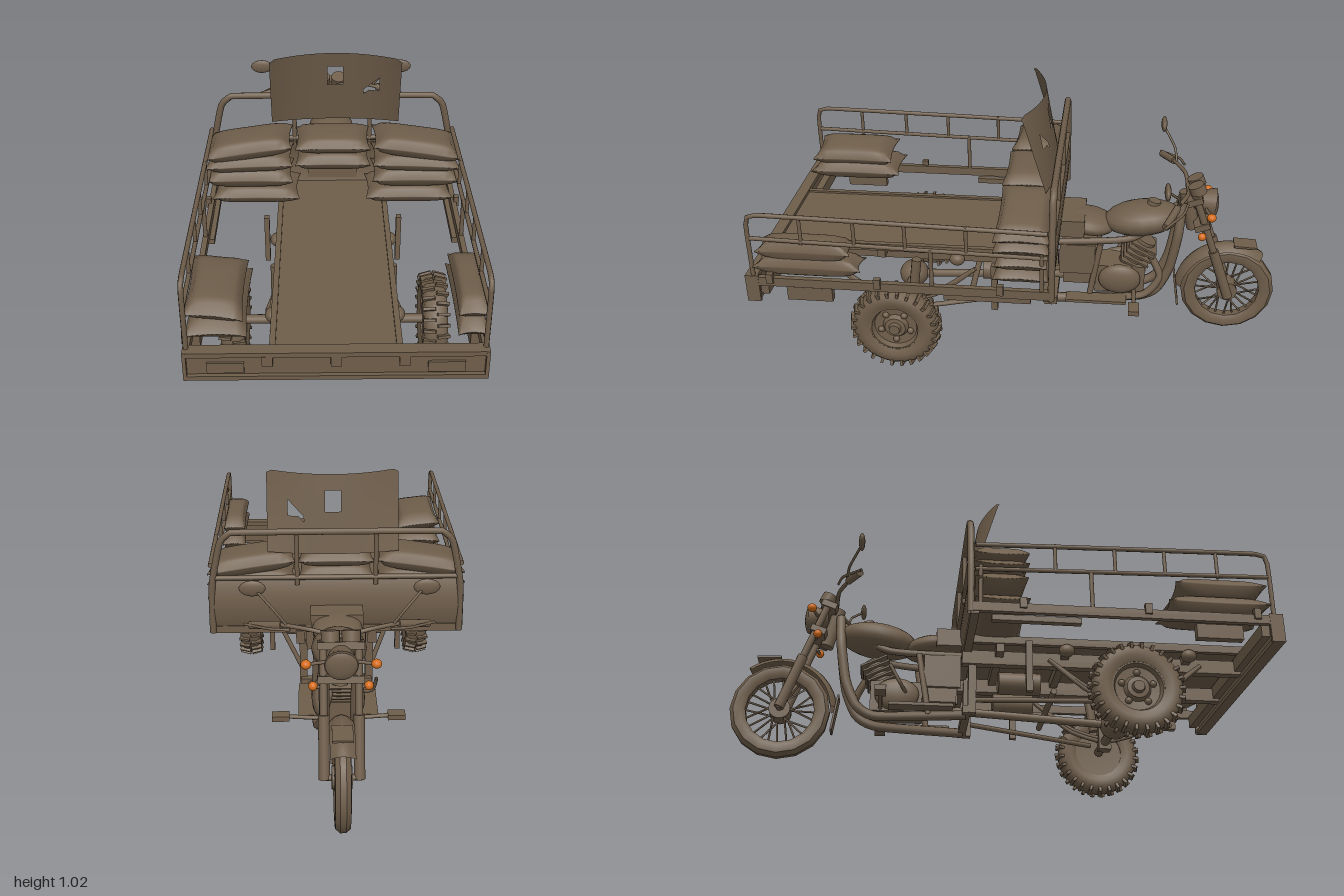
import * as THREE from 'three';
import { mergeVertices, toCreasedNormals } from 'three/addons/utils/BufferGeometryUtils.js';

export function createModel() {
  const root = new THREE.Group();
  root.name = 'cargoTricycle';
  const brown = new THREE.MeshStandardMaterial({ color: 0x6e5d4a, side: THREE.DoubleSide });
  brown.name = 'dusty brown';
  const orange = new THREE.MeshStandardMaterial({ color: 0xd56c1a });
  orange.name = 'signal orange';

  const V = (p) => new THREE.Vector3(...p);
  let parent = root;
  const section = (name) => {
    parent = new THREE.Group();
    parent.name = name;
    root.add(parent);
    return parent;
  };
  const add = (name, geo, pos = [0, 0, 0], rot = [0, 0, 0], mat = brown) => {
    const m = new THREE.Mesh(geo, mat);
    m.name = name;
    m.position.set(...pos);
    m.rotation.set(...rot);
    parent.add(m);
    return m;
  };
  const box = (name, size, pos, rot) => add(name, new THREE.BoxGeometry(...size), pos, rot);
  const ball = (name, size, pos, mat = brown, rot) => {
    const m = add(name, new THREE.SphereGeometry(1, 18, 12), pos, rot, mat);
    m.scale.set(...size);
    return m;
  };
  const rod = (name, a, b, r, r2 = r, seg = 10) => {
    const A = V(a), B = V(b), d = B.clone().sub(A);
    const m = add(name, new THREE.CylinderGeometry(r2, r, d.length(), seg));
    m.position.copy(A.add(B).multiplyScalar(0.5));
    m.quaternion.setFromUnitVectors(new THREE.Vector3(0, 1, 0), d.normalize());
    return m;
  };
  const tube = (name, pts, r, seg = 40) =>
    add(name, new THREE.TubeGeometry(new THREE.CatmullRomCurve3(pts.map(V), false, 'catmullrom', 0.3), seg, r, 8));
  const lathe = (pts, seg) =>
    toCreasedNormals(new THREE.LatheGeometry(pts.map((p) => new THREE.Vector2(...p)), seg), 0.7);
  const sides = [-1, 1];

  // Cargo bed: floor strip, rails and chassis
  section('cargoBed');
  box('bedFloor', [0.4, 0.014, 1.1], [0, 0.425, 0.42]);
  box('tailboard', [0.975, 0.1, 0.02], [0, 0.39, 0.97]);
  box('tailboardTopLip', [0.975, 0.018, 0.045], [0, 0.436, 0.972]);
  box('tailboardBottomLip', [0.975, 0.016, 0.045], [0, 0.344, 0.972]);
  box('frontSill', [0.97, 0.03, 0.03], [0, 0.41, -0.12]);
  box('rearBeam', [0.95, 0.05, 0.03], [0, 0.385, 0.93]);
  for (const x of [-0.22, 0, 0.22]) box('tailLatch', [0.035, 0.04, 0.02], [x, 0.41, 0.985]);
  for (const z of [0.0, 0.25, 0.55, 0.72]) box('crossMember', [0.42, 0.035, 0.03], [0, 0.395, z]);
  for (const s of sides) {
    box('tailLamp', [0.12, 0.04, 0.01], [s * 0.355, 0.38, 0.983]);
    box('tailboardEnd', [0.012, 0.11, 0.05], [s * 0.485, 0.39, 0.97]);
    box('sideSill', [0.02, 0.035, 1.1], [s * 0.48, 0.422, 0.42]);
    box('lowerSideBar', [0.025, 0.022, 0.32], [s * 0.465, 0.388, 0.1]);
    box('rearBracket', [0.03, 0.055, 0.17], [s * 0.465, 0.37, 0.76]);
    box('floorEdge', [0.02, 0.03, 1.1], [s * 0.205, 0.425, 0.42]);
    box('chassisBeam', [0.035, 0.055, 1.08], [s * 0.14, 0.375, 0.4]);
    for (const z of [0.25, 0.72]) ball('floorKnob', [0.025, 0.025, 0.03], [s * 0.215, 0.39, z]);
    // Side railing
    const x = s * 0.48;
    tube('railTop', [[x, 0.42, 0.965], [x, 0.66, 0.965], [x, 0.695, 0.94], [x, 0.695, 0.8], [x, 0.685, 0.3], [x, 0.675, -0.12]], 0.009);
    rod('railMiddle', [x, 0.6, 0.965], [x, 0.575, -0.12], 0.008);
    for (const z of [0.77, 0.575, 0.39, 0.17]) rod('railPost', [x, 0.585, z], [x, 0.69, z], 0.007);
    for (const z of [0.3, -0.1]) rod('railStake', [x, 0.42, z], [x, 0.59, z], 0.008);
    for (const z of [0.9, 0.5, 0.05]) box('railHinge', [0.02, 0.04, 0.025], [s * 0.49, 0.44, z]);
  }

  // Bulkhead with a shallow bulge, and the arch over it
  section('bulkhead');
  const wall = new THREE.PlaneGeometry(0.97, 0.23, 1, 10);
  const wp = wall.attributes.position;
  for (let i = 0; i < wp.count; i++) wp.setZ(i, 0.025 * (wp.getY(i) / 0.115) ** 2);
  wall.computeVertexNormals();
  add('frontWall', wall, [0, 0.51, -0.145]);
  tube('frontArch', [[-0.48, 0.4, -0.135], [-0.475, 0.6, -0.135], [-0.44, 0.77, -0.135], [-0.41, 0.805, -0.135], [-0.36, 0.815, -0.135],
    [0.36, 0.815, -0.135], [0.41, 0.805, -0.135], [0.44, 0.77, -0.135], [0.475, 0.6, -0.135], [0.48, 0.4, -0.135]], 0.013, 80);
  rod('archCrossbar', [-0.47, 0.63, -0.135], [0.47, 0.63, -0.135], 0.01);
  for (const s of sides) rod('archPost', [s * 0.15, 0.6, -0.135], [s * 0.15, 0.82, -0.135], 0.009);

  // Bent backrest sheet with a window and a torn hole
  const sheet = new THREE.PlaneGeometry(0.5, 0.3, 25, 15);
  const sp = sheet.attributes.position, keep = [], idx = sheet.index.array;
  for (let i = 0; i < idx.length; i += 3) {
    const tri = [idx[i], idx[i + 1], idx[i + 2]];
    const cx = tri.reduce((a, k) => a + sp.getX(k), 0) / 3, cy = tri.reduce((a, k) => a + sp.getY(k), 0) / 3;
    const windowHole = Math.abs(cx) < 0.03 && cy > 0.01 && cy < 0.09;
    const tear = cx > 0.11 && cx < 0.17 && cy < cx - 0.12 && cy > cx * 0.4 - 0.07;
    if (!windowHole && !tear) keep.push(...tri);
  }
  sheet.setIndex(keep);
  for (let i = 0; i < sp.count; i++) {
    const u = (sp.getX(i) / 0.25) ** 2, v = sp.getY(i) / 0.3 + 0.5;
    sp.setZ(i, -0.125 + 0.05 * v + u * (0.03 + 0.04 * v));
    if (u > 0.99 && v > 0.99) sp.setY(i, 0.138);
  }
  sheet.computeVertexNormals();
  add('backrest', sheet, [0.012, 0.87, 0]);

  // Stuffed sacks: a pillow thinning to its seams
  section('sacks');
  const sack = (x, y, z, w, h, d, rz = 0) => {
    let g = new THREE.BoxGeometry(2, 2, 2, 12, 1, 12);
    g.deleteAttribute('normal');
    g.deleteAttribute('uv');
    g = mergeVertices(g);
    const p = g.attributes.position;
    for (let i = 0; i < p.count; i++) {
      const a = p.getX(i), c = p.getZ(i);
      const t = Math.sqrt((1 - a ** 4) * (1 - c ** 4)) + 0.06;
      p.setXYZ(i, a * w / 2 * (1 - 0.07 * (1 - c * c)), p.getY(i) * t * h / 2, c * d / 2 * (1 - 0.07 * (1 - a * a)));
    }
    g.computeVertexNormals();
    add('sack', g, [x, y, z], [0, 0, rz]);
  };
  sack(0, 0.685, -0.02, 0.29, 0.065, 0.2);
  sack(0, 0.62, -0.015, 0.29, 0.07, 0.2);
  for (const s of sides) {
    sack(s * 0.325, 0.665, -0.025, 0.34, 0.08, 0.2, -s * 0.15);
    sack(s * 0.325, 0.605, -0.025, 0.34, 0.07, 0.2, -s * 0.04);
    sack(s * 0.325, 0.54, -0.025, 0.34, 0.08, 0.19);
    sack(s * 0.3, 0.47, -0.02, 0.34, 0.07, 0.2);
  }
  sack(-0.385, 0.485, 0.77, 0.2, 0.08, 0.38);
  sack(-0.39, 0.55, 0.78, 0.19, 0.08, 0.34, -0.12);
  sack(0.44, 0.485, 0.76, 0.1, 0.08, 0.4);
  sack(0.44, 0.55, 0.77, 0.1, 0.08, 0.35);

  // Rear wheels with block tread, dished rims and hubs
  for (const s of sides) {
    const w = section('rearWheel');
    w.position.set(s * 0.367, 0.178, 0.47);
    w.rotation.z = -s * Math.PI / 2;
    add('tyre', lathe([[0.095, -0.035], [0.12, -0.046], [0.148, -0.042], [0.162, -0.028], [0.165, 0], [0.162, 0.028], [0.148, 0.042], [0.12, 0.046], [0.095, 0.035], [0.095, -0.035]], 36));
    add('rim', lathe([[0, -0.02], [0.09, -0.03], [0.1, -0.03], [0.1, 0.034], [0.09, 0.034], [0.082, 0.015], [0.05, 0.012], [0.04, 0.028], [0.024, 0.03], [0.02, 0.045], [0, 0.045]], 28));
    for (let i = 0; i < 52; i++) {
      const a = i * Math.PI / 26, side = i % 2 ? 1 : -1;
      box('treadBlock', [0.022, 0.045, 0.011], [0.162 * Math.cos(a), side * 0.024, 0.162 * Math.sin(a)], [0, -a, side * 0.25]);
    }
    for (let i = 0; i < 5; i++) {
      const a = i * Math.PI * 0.4;
      ball('rimBoss', [0.013, 0.012, 0.013], [0.06 * Math.cos(a), 0.015, 0.06 * Math.sin(a)]);
    }
  }

  // Rear axle, springs, shaft and tanks
  section('driveline');
  rod('rearAxle', [-0.33, 0.18, 0.47], [0.33, 0.18, 0.47], 0.018);
  ball('differential', [0.06, 0.055, 0.06], [0, 0.18, 0.47]);
  rod('driveShaft', [0, 0.18, 0.45], [0, 0.22, -0.3], 0.016);
  rod('undersideCrossTube', [-0.2, 0.23, 0.2], [0.2, 0.23, 0.2], 0.012);
  for (const s of sides) {
    const x = s * 0.215;
    for (const k of [0, 0.012]) tube('leafSpring', [[x, 0.35, 0.18], [x, 0.24 - k, 0.33], [x, 0.2 - k, 0.47], [x, 0.24 - k, 0.61], [x, 0.35, 0.76]], 0.009, 20);
    box('springSaddle', [0.045, 0.1, 0.05], [x, 0.2, 0.47]);
    rod('shockAbsorber', [x, 0.23, 0.43], [x, 0.38, 0.41], 0.019);
    rod('radiusRod', [s * 0.25, 0.18, 0.42], [s * 0.13, 0.21, -0.1], 0.01);
    rod('airTank', [s * 0.11, 0.29, 0.0], [s * 0.11, 0.29, 0.16], 0.043, 0.043, 20);
    box('framePost', [0.03, 0.25, 0.03], [s * 0.13, 0.28, -0.1]);
    box('frameSidePost', [0.02, 0.2, 0.025], [s * 0.26, 0.3, 0.1]);
  }

  // Motorcycle front half: frame, seat, tank and engine
  section('motorcycleBody');
  for (const s of sides) {
    const x = s * 0.055;
    tube('downTube', [[s * 0.02, 0.58, -0.61], [x, 0.45, -0.6], [x, 0.3, -0.575], [x, 0.2, -0.53], [x, 0.16, -0.45], [x * 1.8, 0.16, -0.12]], 0.019);
    tube('upperFrameTube', [[s * 0.02, 0.56, -0.62], [s * 0.06, 0.43, -0.42], [s * 0.08, 0.41, -0.12]], 0.014);
    rod('seatPost', [s * 0.08, 0.41, -0.3], [s * 0.09, 0.16, -0.26], 0.012);
    box('footPlate', [0.06, 0.012, 0.24], [s * 0.12, 0.18, -0.29]);
    box('sideCover', [0.014, 0.13, 0.14], [s * 0.085, 0.34, -0.21]);
    rod('pegBar', [s * 0.05, 0.19, -0.44], [s * 0.19, 0.2, -0.44], 0.008);
    box('footPeg', [0.065, 0.02, 0.042], [s * 0.215, 0.2, -0.44]);
    ball('crankcaseCover', [0.03, 0.065, 0.085], [s * 0.07, 0.245, -0.38]);
  }
  box('lowerCrossbar', [0.28, 0.03, 0.03], [0, 0.17, -0.12]);
  ball('fuelTank', [0.1, 0.065, 0.155], [0, 0.495, -0.46], brown, [0.14, 0, 0]);
  rod('fuelCap', [0, 0.55, -0.5], [0, 0.572, -0.505], 0.028, 0.025, 16);
  ball('seatFront', [0.095, 0.045, 0.11], [0, 0.47, -0.25], brown, [-0.15, 0, 0]);
  box('seatBack', [0.2, 0.07, 0.1], [0, 0.48, -0.185]);
  box('crankcase', [0.13, 0.12, 0.2], [0, 0.24, -0.38]);
  rod('cylinderBlock', [0, 0.28, -0.42], [0, 0.4, -0.48], 0.05, 0.045, 14);
  for (let i = 0; i < 5; i++) box('coolingFin', [0.13, 0.007, 0.11], [0, 0.305 + i * 0.02, -0.432 - i * 0.01], [-0.46, 0, 0]);
  box('batteryBox', [0.15, 0.16, 0.13], [0, 0.3, -0.22]);
  tube('exhaust', [[0.03, 0.36, -0.49], [0.06, 0.26, -0.54], [0.08, 0.18, -0.47], [0.1, 0.16, -0.2]], 0.015);
  tube('kickLever', [[-0.08, 0.24, -0.34], [-0.13, 0.27, -0.37], [-0.14, 0.34, -0.41]], 0.007, 12);

  // Front wheel with spokes, mudguard and fork
  const fw = section('frontWheel');
  fw.position.set(0, 0.187, -0.815);
  fw.rotation.z = Math.PI / 2;
  add('tyre', lathe([[0.128, -0.018], [0.145, -0.028], [0.172, -0.026], [0.186, -0.01], [0.186, 0.01], [0.172, 0.026], [0.145, 0.028], [0.128, 0.018], [0.128, -0.018]], 16));
  rod('hub', [0, -0.035, 0], [0, 0.035, 0], 0.04, 0.04, 20);
  for (let i = 0; i < 24; i++) {
    const a = i * Math.PI / 12, b = a + (i % 4 < 2 ? 0.35 : -0.35), y = i % 2 ? 0.025 : -0.025;
    rod('spoke', [0.035 * Math.cos(b), y, 0.035 * Math.sin(b)], [0.132 * Math.cos(a), 0, 0.132 * Math.sin(a)], 0.004, 0.004, 5);
  }
  section('frontFork');
  const guard = new THREE.CylinderGeometry(0.213, 0.213, 0.085, 24, 4, true, 1.35, 2.15);
  const gp = guard.attributes.position;
  for (let i = 0; i < gp.count; i++) {
    const k = 1 - 0.12 * (gp.getY(i) / 0.0425) ** 2;
    gp.setX(i, gp.getX(i) * k);
    gp.setZ(i, gp.getZ(i) * k);
  }
  guard.rotateZ(Math.PI / 2); // arc now runs from the rear over the top
  guard.rotateX(Math.PI * 0.5 - 2.425 + Math.PI * 0.5 + 0.25);
  const arcMid = new THREE.Vector3();
  for (let i = 0; i < gp.count; i++) arcMid.add(new THREE.Vector3(0, gp.getY(i), gp.getZ(i)));
  guard.rotateX(Math.atan2(arcMid.z, arcMid.y) * -1 + 0.42); // centre the arc above and behind the wheel
  guard.computeVertexNormals();
  add('frontMudguard', guard, [0, 0.187, -0.815]);
  box('mudFlap', [0.07, 0.14, 0.008], [0, 0.18, -0.61], [0.15, 0, 0]);
  box('mudguardTip', [0.07, 0.008, 0.09], [0, 0.395, -0.87], [-0.05, 0, 0]);
  for (const s of sides) {
    rod('forkUpper', [s * 0.06, 0.63, -0.655], [s * 0.06, 0.38, -0.745], 0.014);
    rod('forkLower', [s * 0.06, 0.39, -0.742], [s * 0.06, 0.18, -0.815], 0.02);
  }
  rod('frontAxle', [-0.07, 0.187, -0.815], [0.07, 0.187, -0.815], 0.012);
  rod('steeringHead', [0, 0.62, -0.62], [0, 0.46, -0.66], 0.026);
  for (const [y, z] of [[0.61, -0.655], [0.5, -0.69]]) box('forkYoke', [0.16, 0.025, 0.06], [0, y, z], [0.35, 0, 0]);

  // Headlamp, dials, handlebar, mirrors and signals
  section('controls');
  rod('headlamp', [0, 0.585, -0.66], [0, 0.575, -0.735], 0.035, 0.058, 20);
  ball('headlampLens', [0.056, 0.056, 0.018], [0, 0.575, -0.733]);
  tube('handlebar', [[-0.3, 0.63, -0.54], [-0.2, 0.65, -0.58], [-0.1, 0.65, -0.62], [0, 0.63, -0.63], [0.1, 0.65, -0.62], [0.2, 0.65, -0.58], [0.3, 0.63, -0.54]], 0.008);
  for (const s of sides) {
    rod('dial', [s * 0.035, 0.63, -0.67], [s * 0.035, 0.665, -0.655], 0.032, 0.032, 16);
    rod('grip', [s * 0.2, 0.65, -0.58], [s * 0.31, 0.628, -0.535], 0.014);
    tube('lever', [[s * 0.17, 0.65, -0.62], [s * 0.24, 0.645, -0.6], [s * 0.33, 0.63, -0.53]], 0.005, 12);
    tube('mirrorStem', [[s * 0.18, 0.65, -0.59], [s * 0.22, 0.7, -0.58], [s * 0.28, 0.755, -0.54]], 0.005, 12);
    ball('mirror', [0.046, 0.029, 0.012], [s * 0.298, 0.767, -0.535]);
    rod('upperSignalStem', [s * 0.05, 0.57, -0.7], [s * 0.11, 0.57, -0.715], 0.006);
    ball('upperSignal', [0.018, 0.016, 0.018], [s * 0.118, 0.57, -0.717], orange);
    rod('lowerSignalStem', [s * 0.05, 0.47, -0.7], [s * 0.085, 0.47, -0.692], 0.006);
    ball('lowerSignal', [0.016, 0.016, 0.016], [s * 0.095, 0.472, -0.69], orange);
  }

  root.children.forEach((g) => { g.position.x -= 0.01; });
  return root;
}
